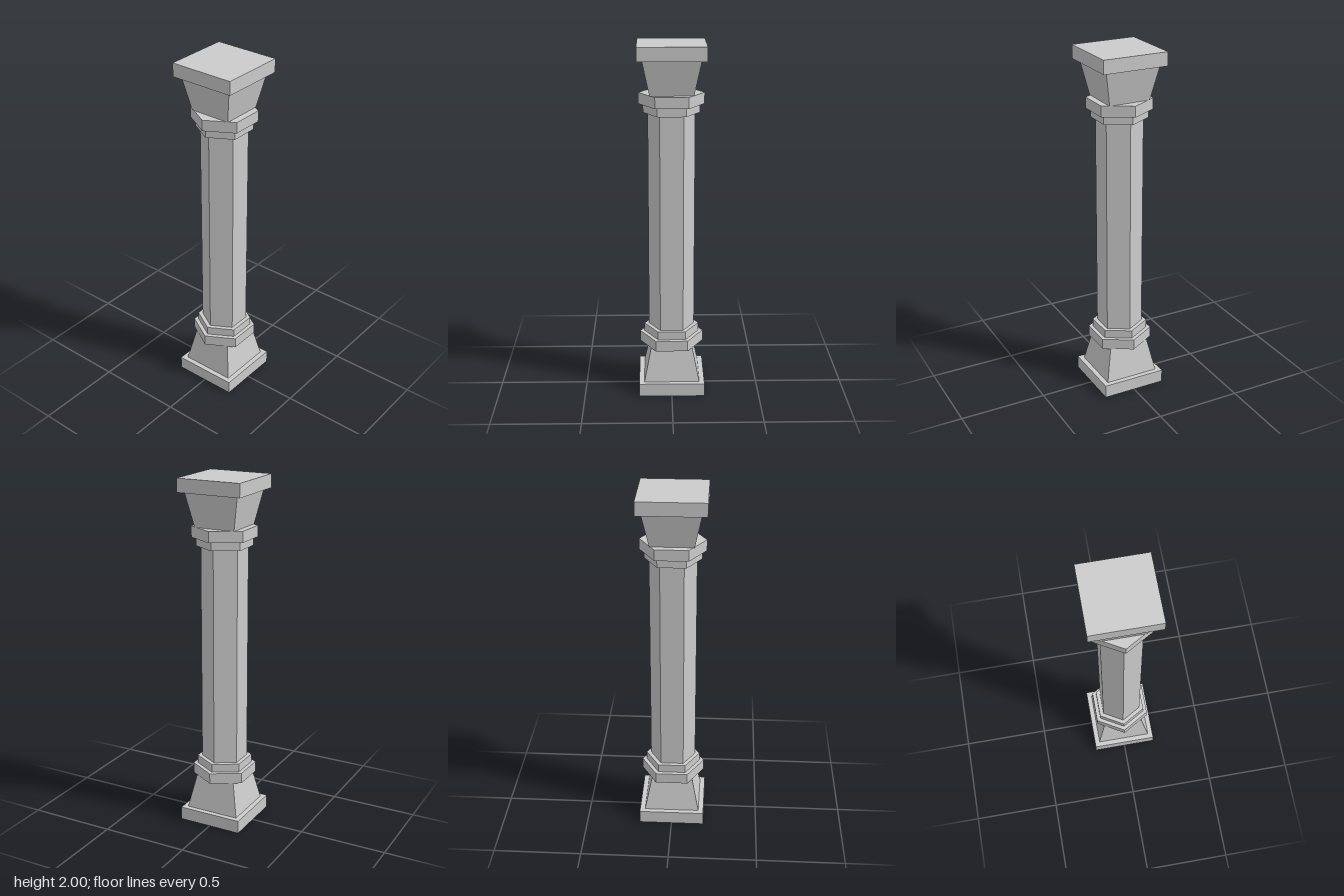
import * as THREE from 'three';

const material = new THREE.MeshStandardMaterial({ color: 0xcccccc, flatShading: true });

// Straight or tapered prism between two heights; radii are to the corners.
function prism(name, sides, y0, y1, bottomRadius, topRadius = bottomRadius) {
  const geometry = new THREE.CylinderGeometry(topRadius, bottomRadius, y1 - y0, sides, 1);
  if (sides === 4) geometry.rotateY(Math.PI / 4); // square faces look along the axes
  geometry.translate(0, (y0 + y1) / 2, 0);
  const mesh = new THREE.Mesh(geometry, material);
  mesh.name = name;
  return mesh;
}

// Stack of plinth, tapered block and two hexagonal collars, standing on y = 0.
function columnEnd(name) {
  const end = new THREE.Group();
  end.name = name;
  const corner = Math.SQRT2;
  end.add(
    prism('slab', 4, 0, 0.076, 0.187 * corner),
    prism('taperedBlock', 4, 0.076, 0.268, 0.158 * corner, 0.119 * corner),
    prism('wideCollar', 6, 0.268, 0.33, 0.181),
    prism('narrowCollar', 6, 0.33, 0.378, 0.156),
  );
  return end;
}

export function createModel() {
  const column = new THREE.Group();
  column.name = 'column';

  column.add(columnEnd('base'));
  column.add(prism('shaft', 6, 0.378, 1.622, 0.13));

  // The capital is the base turned upside down.
  const capital = columnEnd('capital');
  capital.rotation.z = Math.PI;
  capital.position.y = 2;
  column.add(capital);

  return column;
}
